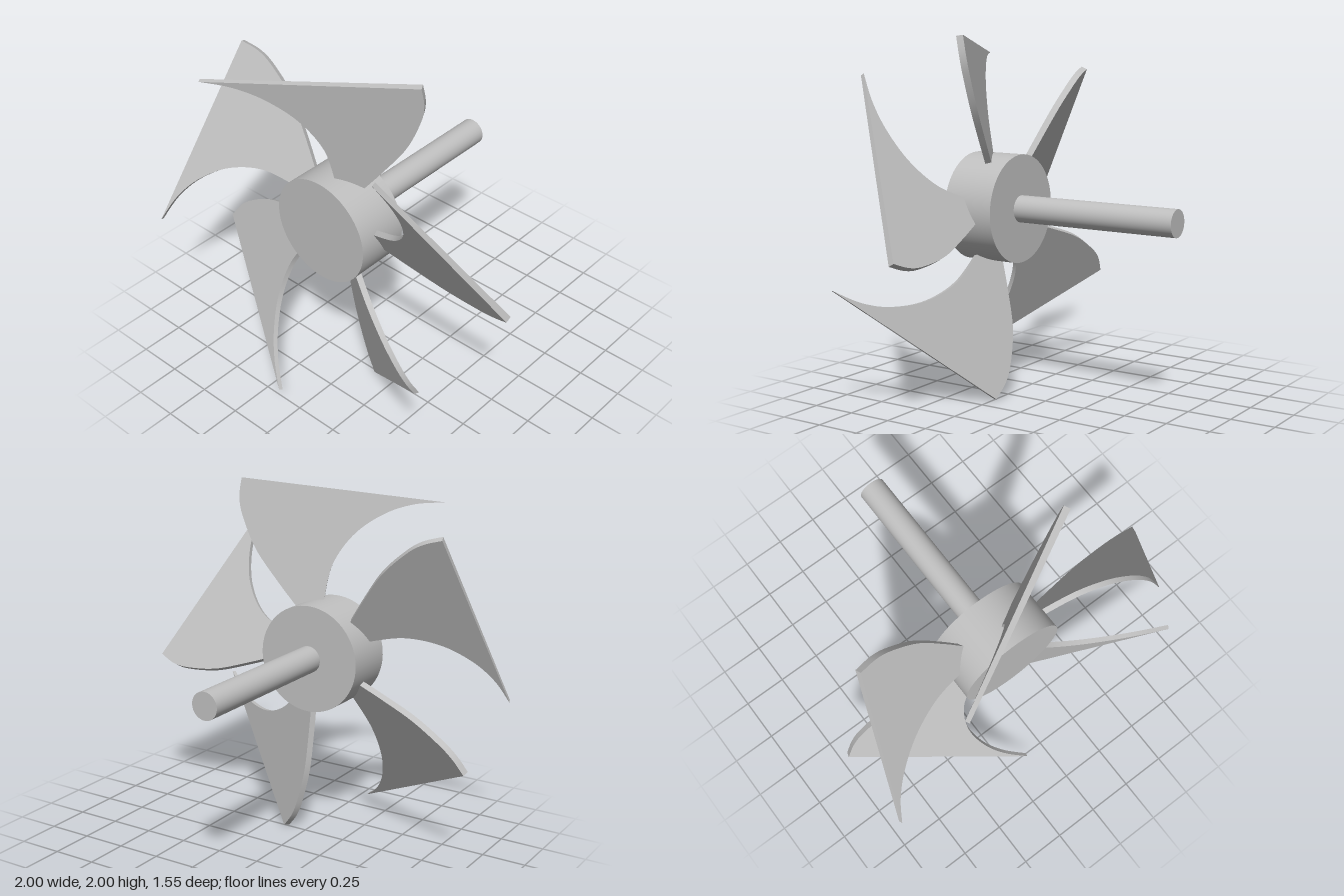
import * as THREE from 'three';
import { toCreasedNormals } from 'three/addons/utils/BufferGeometryUtils.js';

const BLADES = 5;
const PITCH = Math.PI / 6;

// Flat blade lying along +x; heights are given as seen from the front, before pitching
function bladeGeometry() {
  const pt = ([x, y]) => new THREE.Vector2(x, y / Math.cos(PITCH));
  const lower = [[0.29, -0.062], [0.45, -0.118], [0.65, -0.178], [0.84, -0.198], [0.95, -0.19], [1.05, -0.155]].map(pt);
  const upper = [[0.63, 0.745], [0.664, 0.6], [0.655, 0.45], [0.59, 0.29], [0.46, 0.155], [0.28, 0.072]].map(pt);

  const shape = new THREE.Shape();
  shape.moveTo(0.2, -0.04);
  new THREE.SplineCurve(lower).getPoints(32).forEach(p => shape.lineTo(p.x, p.y));
  new THREE.SplineCurve(upper).getPoints(36).forEach(p => shape.lineTo(p.x, p.y));
  shape.lineTo(0.2, 0.06);
  shape.closePath();

  const geo = new THREE.ExtrudeGeometry(shape, { depth: 1, bevelEnabled: false });
  geo.translate(0, 0, -0.5);
  // The plate thins toward its leading tip
  const pos = geo.attributes.position;
  for (let i = 0; i < pos.count; i++) {
    const t = THREE.MathUtils.mapLinear(pos.getY(i), -0.2, 0.86, 0.036, 0.023);
    pos.setZ(i, pos.getZ(i) * t);
  }
  return toCreasedNormals(geo, 0.5);
}

export function createModel() {
  const metal = new THREE.MeshStandardMaterial({ color: 0xbfbfbf });
  metal.name = 'grey metal';

  const model = new THREE.Group();
  model.name = 'fan';
  model.position.set(-0.05, 1.05, 0.34);

  // Cylinder along z, centred on the fan axis
  const addCylinder = (name, radius, z0, z1) => {
    const geo = new THREE.CylinderGeometry(radius, radius, z1 - z0, 72);
    geo.rotateX(Math.PI / 2);
    const mesh = new THREE.Mesh(geo, metal);
    mesh.name = name;
    mesh.position.z = (z0 + z1) / 2;
    model.add(mesh);
  };
  addCylinder('hub', 0.3, -0.15, 0.15);
  addCylinder('shaft', 0.075, -1.112, -0.15);

  // Pitched blades spaced evenly round the hub
  const geo = bladeGeometry();
  geo.rotateX(PITCH);
  for (let i = 0; i < BLADES; i++) {
    const blade = new THREE.Mesh(geo, metal);
    blade.name = `blade${i + 1}`;
    blade.rotation.z = (i * 2 * Math.PI) / BLADES;
    model.add(blade);
  }

  const root = new THREE.Group();
  root.name = 'fanRotor';
  root.add(model);
  return root;
}
